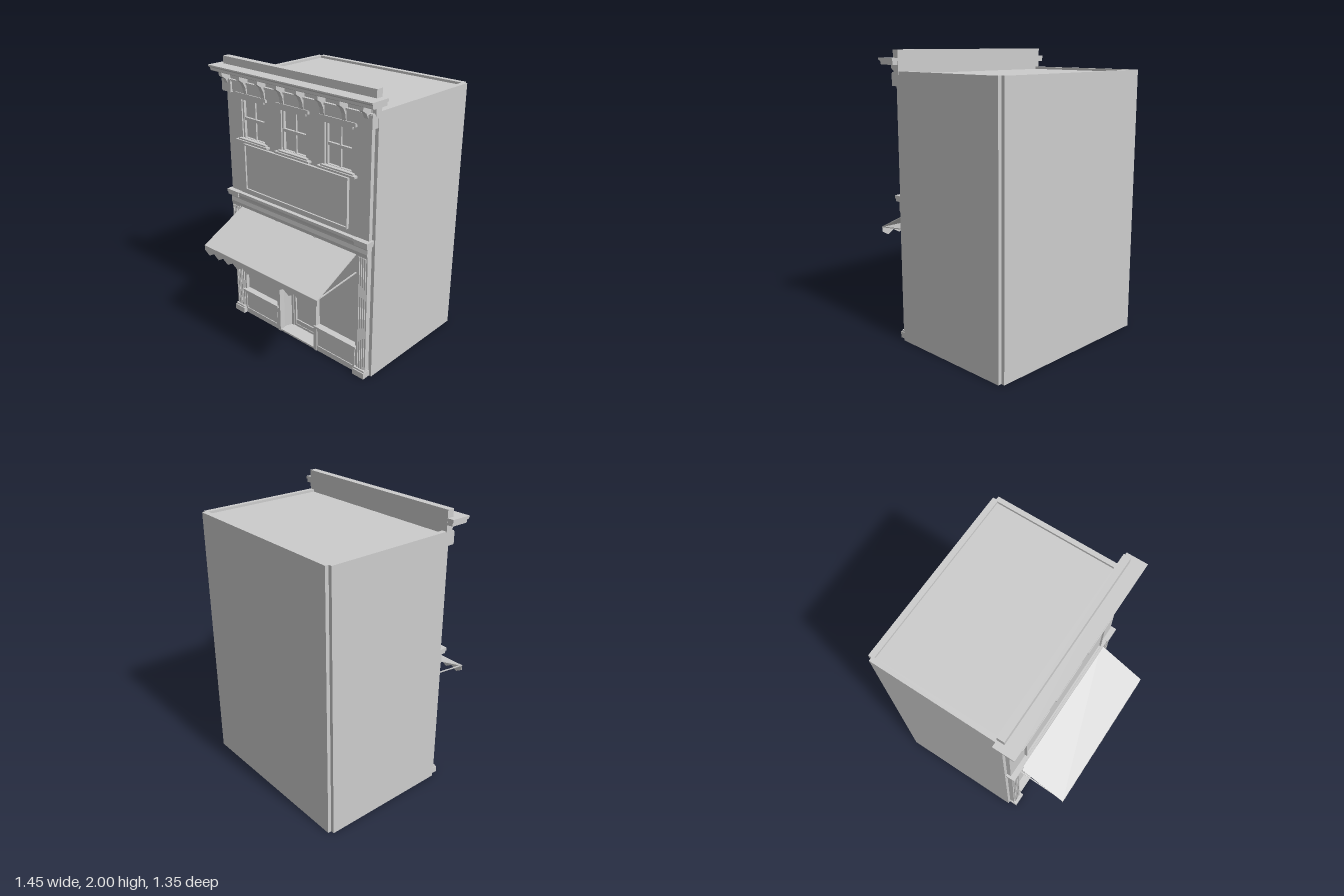
import * as THREE from 'three';

export function createModel() {
  const root = new THREE.Group();
  root.name = 'shopBuilding';
  const paint = new THREE.MeshStandardMaterial({ color: 0xcccccc, side: THREE.DoubleSide });
  paint.name = 'plainGrey';

  const add = (name, geo, parent = root) => {
    const m = new THREE.Mesh(geo, paint);
    m.name = name;
    parent.add(m);
    return m;
  };
  const group = (name) => {
    const g = new THREE.Group();
    g.name = name;
    root.add(g);
    return g;
  };
  // box given by its limits
  const box = (name, x0, x1, y0, y1, z0, z1, parent) => add(name,
    new THREE.BoxGeometry(x1 - x0, y1 - y0, z1 - z0)
      .translate((x0 + x1) / 2, (y0 + y1) / 2, (z0 + z1) / 2), parent);
  const shape = (pts) => new THREE.Shape(pts.map(([a, b]) => new THREE.Vector2(a, b)));
  const extrude = (s, depth) => new THREE.ExtrudeGeometry(s, { depth, bevelEnabled: false });
  // floor plan of [x, z] points raised from y0 to y1
  const plan = (name, pts, y0, y1, hole) => {
    const s = shape(pts.map(([x, z]) => [x, -z]));
    if (hole) s.holes.push(shape(hole.map(([x, z]) => [x, -z])));
    return add(name, extrude(s, y1 - y0).rotateX(-Math.PI / 2).translate(0, y0, 0));
  };
  // [z, y] moulding profile run along x
  const moulding = (name, pts, x0, x1, parent) => add(name,
    extrude(shape(pts), x1 - x0).rotateY(-Math.PI / 2).translate(x1, 0, 0), parent);
  const rect = (x0, x1, y0, y1) => [[x0, y0], [x1, y0], [x1, y1], [x0, y1]];
  // rectangular frame with border b
  const frame = (name, x0, x1, y0, y1, b, z0, z1, parent) => {
    const s = shape(rect(x0, x1, y0, y1));
    s.holes.push(shape(rect(x0 + b, x1 - b, y0 + b, y1 - b)));
    return add(name, extrude(s, z1 - z0).translate(0, 0, z0), parent);
  };

  // main body, with notched back corners and a splayed entrance recess
  const back = [[0.675, 0.28], [0.675, -0.65], [0.65, -0.65], [0.65, -0.675],
    [-0.65, -0.675], [-0.65, -0.65], [-0.675, -0.65], [-0.675, 0.28]];
  const recess = [[-0.185, 0.28], [-0.15, 0.19], [0.15, 0.19], [0.185, 0.28]];
  const inner = rect(-0.635, 0.635, -0.635, 0.16);
  plan('baseWalls', [...back, ...recess], 0, 0.03, inner);
  plan('lowerBody', [...back, ...recess], 0.03, 0.91);
  plan('upperBody', back, 0.91, 1.845);
  plan('roofRim', back, 1.845, 1.862, rect(-0.64, 0.64, -0.635, 0.26));
  box('parapet', -0.677, 0.677, 1.84, 2, 0.257, 0.308);

  // facade skin with shop and window openings
  const windowXs = [-0.39, 0, 0.39];
  const skin = shape([[-0.65, 0], [-0.57, 0], [-0.57, 0.91], [0.57, 0.91],
    [0.57, 0], [0.65, 0], [0.65, 1.9], [-0.65, 1.9]]);
  windowXs.forEach((x) => skin.holes.push(shape(rect(x - 0.115, x + 0.115, 1.44, 1.735))));
  add('facade', extrude(skin, 0.031).translate(0, 0, 0.279));

  // sash windows
  windowXs.forEach((x) => {
    const g = group('window');
    frame('windowFrame', x - 0.115, x + 0.115, 1.44, 1.735, 0.014, 0.279, 0.3, g);
    box('middleRail', x - 0.1, x + 0.1, 1.58, 1.6, 0.279, 0.298, g);
    box('glazingBar', x - 0.006, x + 0.006, 1.45, 1.73, 0.279, 0.292, g);
    box('sill', x - 0.158, x + 0.158, 1.428, 1.442, 0.28, 0.34, g);
    box('sillTop', x - 0.135, x + 0.135, 1.442, 1.452, 0.28, 0.33, g);
    box('lintel', x - 0.12, x + 0.12, 1.73, 1.755, 0.305, 0.32, g);
    box('lintelCap', x - 0.148, x + 0.148, 1.75, 1.775, 0.305, 0.328, g);
  });

  // sign board
  box('signPanel', -0.475, 0.475, 1.075, 1.41, 0.305, 0.318);
  frame('signFrame', -0.482, 0.482, 1.068, 1.415, 0.011, 0.305, 0.33);

  // top cornice and brackets
  const cornice = group('cornice');
  box('frieze', -0.665, 0.665, 1.77, 1.84, 0.3, 0.32, cornice);
  box('friezeLip', -0.67, 0.67, 1.84, 1.855, 0.3, 0.33, cornice);
  [-1, 1].forEach((s) => box('friezeEnd', s * 0.627 - 0.045, s * 0.627 + 0.045, 1.765, 1.85, 0.28, 0.335, cornice));
  moulding('corniceSlab', [[0.26, 1.903], [0.38, 1.903], [0.392, 1.91], [0.392, 1.93], [0.26, 1.93]], -0.717, 0.717, cornice);
  moulding('corniceLip', [[0.257, 1.928], [0.395, 1.928], [0.405, 1.938], [0.405, 1.947], [0.257, 1.947]], -0.724, 0.724, cornice);
  for (let i = 0; i < 8; i++) {
    const x = -0.624 + i * 0.1783;
    moulding('bracket', [[0.305, 1.775], [0.325, 1.775], [0.333, 1.82], [0.352, 1.858],
      [0.383, 1.88], [0.383, 1.905], [0.305, 1.905]], x - 0.016, x + 0.016, cornice);
  }

  // shopfront entablature
  moulding('fascia', [[0.3, 0.915], [0.322, 0.915], [0.325, 0.94], [0.322, 0.97],
    [0.326, 0.99], [0.3, 0.99]], -0.65, 0.65);
  moulding('shopCornice', [[0.28, 0.988], [0.33, 0.988], [0.34, 1.01], [0.34, 1.03], [0.28, 1.03]], -0.65, 0.65);

  // pilasters and shop windows, mirrored
  [-1, 1].forEach((s) => {
    const g = group(s > 0 ? 'leftShopfront' : 'rightShopfront');
    const side = (name, a, b, ...r) => box(name, Math.min(s * a, s * b), Math.max(s * a, s * b), ...r, g);
    side('corniceEnd', 0.555, 0.662, 0.99, 1.012, 0.28, 0.343);
    side('corniceEndCap', 0.55, 0.667, 1.01, 1.032, 0.28, 0.348);
    side('pilaster', 0.568, 0.65, 0.05, 0.92, 0.285, 0.318);
    for (let i = 0; i < 4; i++) side('flute', 0.579 + i * 0.017, 0.588 + i * 0.017, 0.06, 0.905, 0.31, 0.326);
    side('pilasterBase', 0.557, 0.657, 0, 0.045, 0.28, 0.342);
    side('pilasterBaseCap', 0.562, 0.652, 0.045, 0.058, 0.28, 0.334);
    side('bulkhead', 0.185, 0.57, 0, 0.2, 0.275, 0.312);
    const [a, b] = s > 0 ? [0.2, 0.555] : [-0.555, -0.2];
    frame('bulkheadPanel', a, b, 0.035, 0.185, 0.012, 0.31, 0.318, g);
    side('windowSill', 0.185, 0.57, 0.195, 0.212, 0.275, 0.33);
    side('windowSideTrim', 0.552, 0.57, 0.21, 0.91, 0.279, 0.308);
    side('entrancePost', 0.17, 0.198, 0, 0.91, 0.275, 0.318);
    side('doorJamb', 0.138, 0.16, 0, 0.91, 0.185, 0.21);
  });
  box('shopHead', -0.57, 0.57, 0.888, 0.916, 0.27, 0.312);
  box('entranceStep', -0.175, 0.175, 0, 0.014, 0.15, 0.312);

  // door
  const door = group('door');
  frame('doorFrame', -0.138, 0.138, 0.014, 0.69, 0.018, 0.188, 0.204, door);
  box('kickPlate', -0.12, 0.12, 0.02, 0.068, 0.188, 0.2, door);
  box('pushBar', -0.117, 0.117, 0.333, 0.345, 0.2, 0.216, door);
  box('transomBar', -0.14, 0.14, 0.68, 0.7, 0.188, 0.208, door);

  // awning: sloped cloth, scalloped valance and side rods
  const awning = group('awning');
  moulding('awningCloth', [[0.305, 0.907], [0.676, 0.722], [0.676, 0.728], [0.305, 0.914]], -0.55, 0.55, awning);
  const hem = [[0.55, 0.726], [-0.55, 0.726]];
  for (let i = 0; i <= 22; i++) hem.push([-0.55 + i * 0.05, i % 2 ? 0.66 : 0.69]);
  add('valance', extrude(shape(hem), 0.004).translate(0, 0, 0.672), awning);
  [-0.545, 0.538].forEach((x) => moulding('awningRod',
    [[0.3, 0.764], [0.672, 0.721], [0.672, 0.728], [0.3, 0.772]], x, x + 0.007, awning));
  box('frontRod', -0.545, 0.545, 0.721, 0.727, 0.665, 0.672, awning);

  return root;
}
